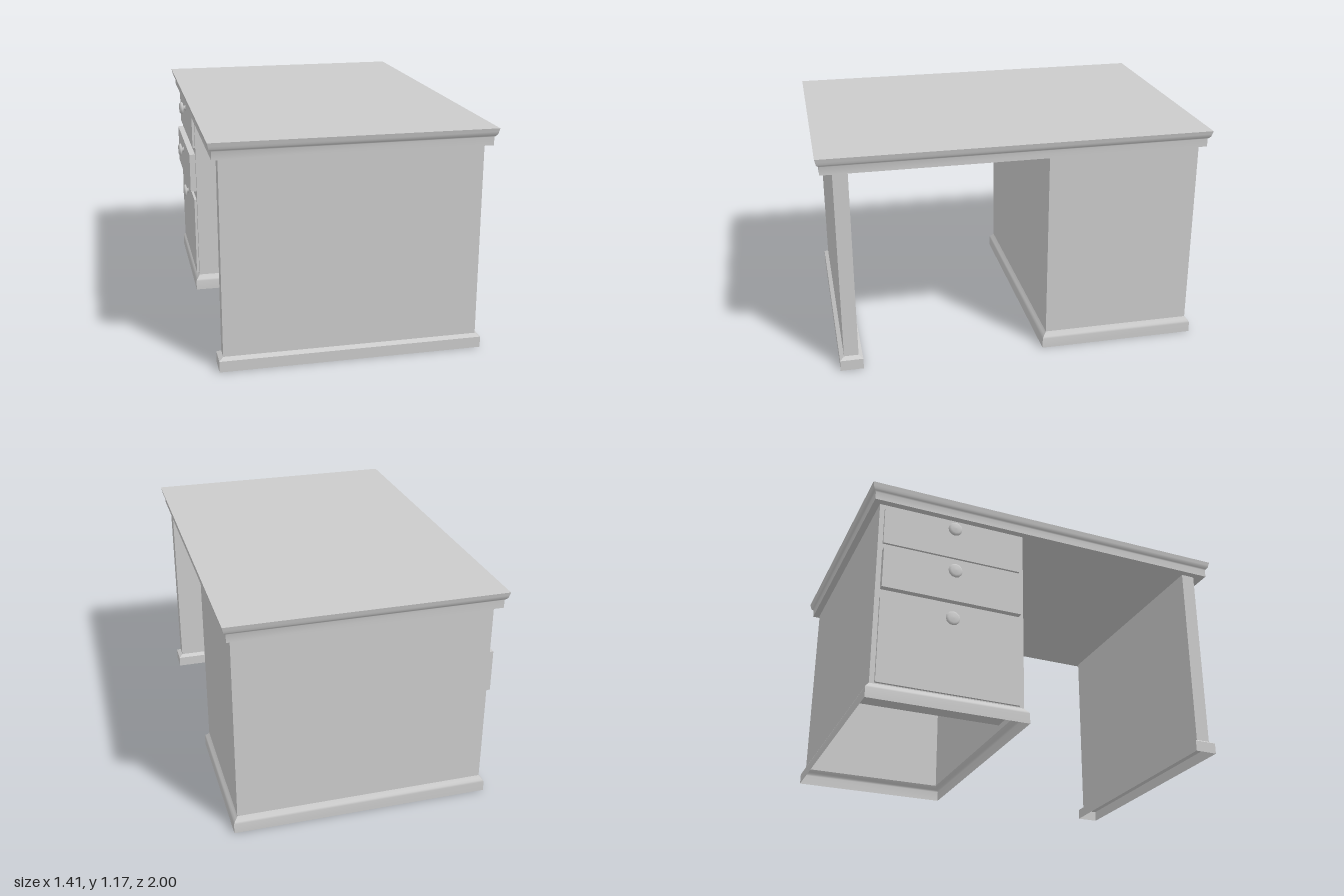
import * as THREE from 'three';

const smooth = new THREE.MeshStandardMaterial({ color: 0xcccccc, side: THREE.DoubleSide });
const flat = new THREE.MeshStandardMaterial({ color: 0xcccccc, side: THREE.DoubleSide, flatShading: true });

// Rectangular moulding: rings of [y, outward offset] around a centre, going up.
// Each side has its own vertices, so it is smooth along the profile and sharp at corners.
function moulding(name, [cx, cz, hx, hz], profile, material, { top = false, bottom = false } = {}) {
  const pos = [], index = [];
  const signs = [[1, 1], [1, -1], [-1, -1], [-1, 1]];
  const corner = (k, [y, o]) => {
    const [sx, sz] = signs[k % 4];
    return pos.push(cx + sx * (hx + o), y, cz + sz * (hz + o)) / 3 - 1;
  };
  for (let k = 0; k < 4; k++) {
    let prev = null;
    for (const p of profile) {
      const a = corner(k, p), b = corner(k + 1, p);
      if (prev) index.push(prev[0], prev[1], b, prev[0], b, a);
      prev = [a, b];
    }
  }
  const cap = (p, order) => {
    const c = [0, 1, 2, 3].map(k => corner(k, p));
    index.push(...order.map(i => c[i]));
  };
  if (top) cap(profile[profile.length - 1], [0, 1, 2, 0, 2, 3]);
  if (bottom) cap(profile[0], [0, 2, 1, 0, 3, 2]);
  const geo = new THREE.BufferGeometry();
  geo.setAttribute('position', new THREE.Float32BufferAttribute(pos, 3));
  geo.setIndex(index);
  geo.computeVertexNormals();
  const mesh = new THREE.Mesh(geo, material);
  mesh.name = name;
  return mesh;
}

// Drawer box reaching into the cabinet, with a round knob on its face
function drawer(name, y0, y1, face, knobY, knobLength) {
  const group = new THREE.Group();
  group.name = name;
  const back = -0.375, z = -0.55;
  const box = new THREE.Mesh(new THREE.BoxGeometry(back - face, y1 - y0, 0.74), flat);
  box.name = 'drawerBox';
  box.position.set((face + back) / 2, (y0 + y1) / 2, z);

  const L = knobLength;
  const profile = [[0.018, 0], [0.012, 0.2 * L], [0.014, 0.35 * L], [0.03, 0.4 * L],
    [0.037, 0.55 * L], [0.037, 0.75 * L], [0.027, 0.95 * L], [0, L]];
  const knob = new THREE.Mesh(
    new THREE.LatheGeometry(profile.map(p => new THREE.Vector2(...p)), 12), smooth);
  knob.name = 'knob';
  knob.rotation.z = Math.PI / 2;
  knob.position.set(face, knobY, z);
  group.add(box, knob);
  return group;
}

export function createModel() {
  const desk = new THREE.Group();
  desk.name = 'desk';

  // Table top with a moulded rim
  desk.add(moulding('tableTop', [0.005, 0, 0.68, 0.98],
    [[1.08, 0], [1.122, 0], [1.128, 0.006], [1.137, 0.013], [1.15, 0.016], [1.167, 0.02]],
    smooth, { top: true, bottom: true }));

  // Side panel leg with a chamfered, hollow foot
  const panel = [0.011, 0.8825, 0.651, 0.0375];
  desk.add(moulding('panelLeg', panel, [[0.06, 0], [1.08, 0]], flat, { bottom: true }));
  desk.add(moulding('panelFoot', panel, [[0, 0.022], [0.057, 0.022], [0.071, 0]], flat));

  // Drawer cabinet, open underneath, with a rounded skirting
  const cabinet = [0.011, -0.55, 0.651, 0.395];
  desk.add(moulding('cabinetBody', cabinet, [[0.085, 0], [1.08, 0]], flat));
  desk.add(moulding('cabinetSkirting', cabinet,
    [[0, 0.022], [0.053, 0.022], [0.063, 0.018], [0.072, 0.009], [0.085, 0]], smooth));

  // Drawers, the middle one pulled out a little
  desk.add(drawer('topDrawer', 0.85, 1.047, -0.653, 1.007, 0.038));
  desk.add(drawer('middleDrawer', 0.59, 0.81, -0.672, 0.75, 0.034));
  desk.add(drawer('bottomDrawer', 0.09, 0.54, -0.653, 0.49, 0.031));

  return desk;
}
